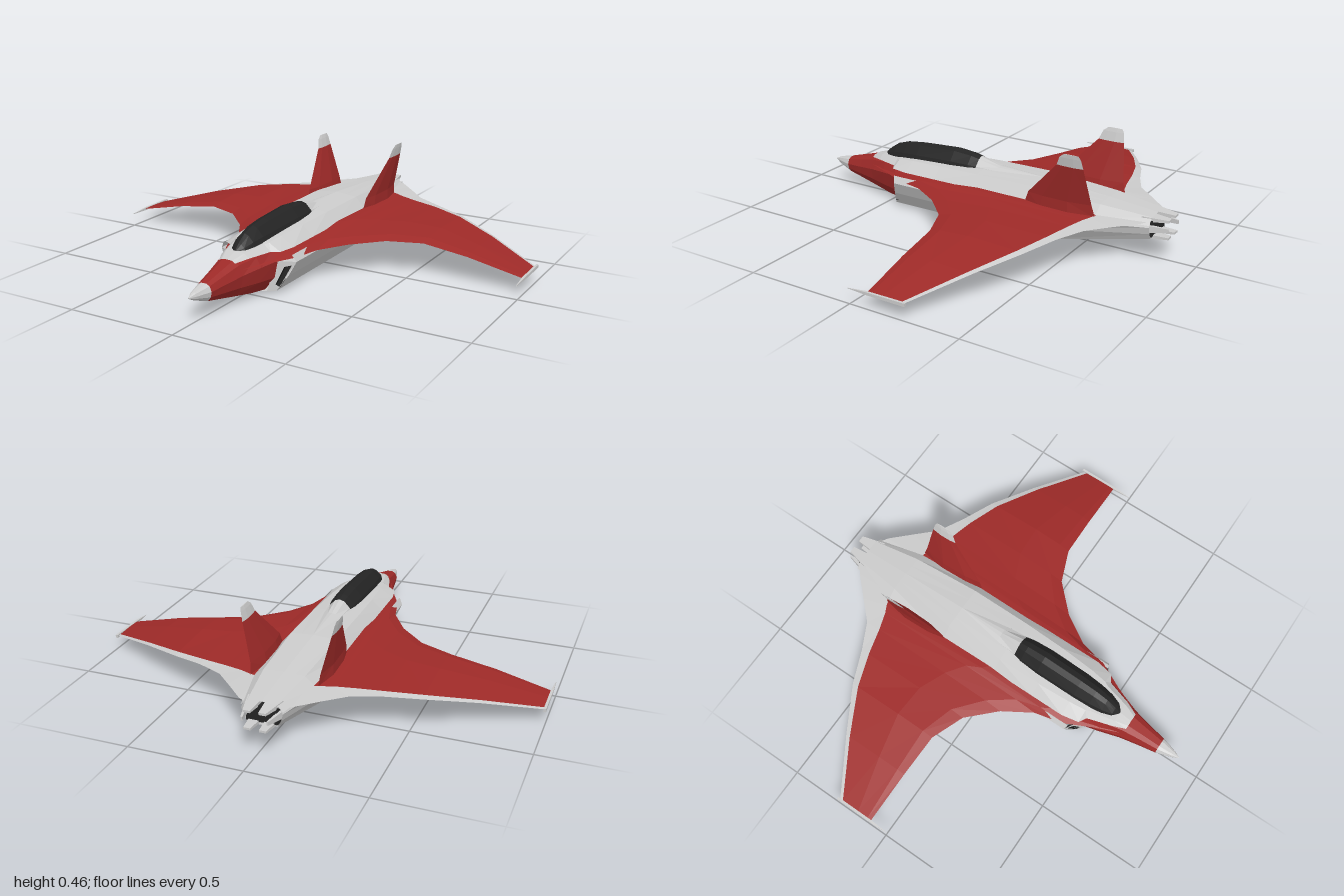
import * as THREE from 'three';

const RED = 0x9e2a28, GREY = 0xcccccc, DARK = 0x242424;
const material = (color) => new THREE.MeshStandardMaterial({ color, flatShading: true, side: THREE.DoubleSide });

// Skin through rows of [x, y, z] points, with a mirrored copy on the other side.
function loft(name, color, rows, { closed = false, cap = false } = {}) {
  const pos = [];
  const tri = (a, b, c) => {
    pos.push(...a, ...b, ...c);
    for (const p of [a, c, b]) pos.push(-p[0], p[1], p[2]);
  };
  if (cap) {
    const last = rows[rows.length - 1];
    const mid = [0, 1, 2].map((k) => last.reduce((s, p) => s + p[k], 0) / last.length);
    rows = [...rows, last.map(() => mid)];
  }
  for (let i = 0; i < rows.length - 1; i++) {
    const n = rows[i].length;
    for (let j = 0; j < (closed ? n : n - 1); j++) {
      const k = (j + 1) % n;
      const a = rows[i][j], b = rows[i][k], c = rows[i + 1][k], d = rows[i + 1][j];
      tri(a, d, c);
      tri(a, c, b);
    }
  }
  const g = new THREE.BufferGeometry();
  g.setAttribute('position', new THREE.Float32BufferAttribute(pos, 3));
  g.computeVertexNormals();
  const mesh = new THREE.Mesh(g, material(color));
  mesh.name = name;
  return mesh;
}

// Rectangular ring at depth z
const rect = (x0, x1, y0, y1, z) => [[x0, y0, z], [x1, y0, z], [x1, y1, z], [x0, y1, z]];

function nose() {
  // z, half width, bottom, middle, top
  const ring = ([z, w, b, m, t]) => [
    [0, b, z], [w * 0.5, b + (m - b) * 0.08, z], [w * 0.87, b + (m - b) * 0.48, z], [w, m, z],
    [w * 0.75, m + (t - m) * 0.72, z], [w * 0.35, t, z], [0, t, z],
  ];
  const rows = [
    [0.89, 0.002, 0.108, 0.11, 0.112], [0.86, 0.016, 0.092, 0.11, 0.125], [0.79, 0.037, 0.065, 0.11, 0.14],
    [0.7, 0.053, 0.045, 0.118, 0.164], [0.62, 0.07, 0.027, 0.128, 0.186],
    [0.53, 0.1, 0.01, 0.14, 0.197], [0.445, 0.125, 0.0, 0.148, 0.205],
  ].map(ring);
  return [loft('noseTip', GREY, rows.slice(0, 3)), loft('nose', RED, rows.slice(2))];
}

function body() {
  // Upper deck: z, shoulder x, shoulder y, edge x, edge y, centre y
  const spine = [
    [0.63, 0.025, 0.187, 0.04, 0.178, 0.189], [0.57, 0.045, 0.204, 0.066, 0.185, 0.207],
    [0.46, 0.07, 0.214, 0.1, 0.187, 0.218], [0.44, 0.08, 0.218, 0.135, 0.187, 0.222],
    [0.36, 0.09, 0.226, 0.15, 0.187, 0.23], [0.2, 0.1, 0.233, 0.15, 0.187, 0.24],
    [0, 0.105, 0.238, 0.15, 0.187, 0.25], [-0.28, 0.105, 0.24, 0.15, 0.187, 0.249],
    [-0.6, 0.09, 0.222, 0.14, 0.182, 0.226], [-0.82, 0.06, 0.202, 0.09, 0.175, 0.205],
  ].map(([z, xs, ys, xe, ye, yc]) => [[xe, ye, z], [xs, ys, z], [xs * 0.5, (ys + yc) / 2, z], [0, yc, z]]);

  // Belly, with the swept intake lip at its front
  const lip = (x) => 0.45 - (x - 0.1) * 0.6;
  const section = [[0, 0.004], [0.06, 0.004], [0.115, 0.014], [0.158, 0.08], [0.187, 0.14], [0.17, 0.17]];
  const belly = [
    section.map(([x, y]) => [x, y, x > 0.1 ? lip(x) : 0.45]),
    section.map(([x, y]) => [x, y, 0.2]),
    section.map(([x, y]) => [x, y, -0.35]),
    [[0, 0.102, -0.82], [0.035, 0.102, -0.82], [0.065, 0.108, -0.82], [0.08, 0.135, -0.82], [0.088, 0.165, -0.82], [0.08, 0.18, -0.82]],
  ];

  // Intake: frame, then a dark duct
  const at = (pts, dz = 0) => pts.map(([x, y]) => [x, y, lip(x) + dz]);
  const outer = [[0.115, 0.014], [0.08, 0.01], [0.115, 0.145], [0.187, 0.14]];
  const inner = [[0.126, 0.03], [0.112, 0.042], [0.143, 0.118], [0.17, 0.125]];
  return [
    loft('upperDeck', GREY, spine),
    loft('belly', GREY, belly),
    loft('intakeFrame', GREY, [at(outer), at(inner)], { closed: true }),
    loft('intakeDuct', DARK, [at(inner), at(inner, -0.015)], { closed: true, cap: true }),
  ];
}

function canopy() {
  // z, half width, base y, top y
  const rows = [
    [0.57, 0.008, 0.203, 0.208], [0.545, 0.034, 0.206, 0.232], [0.5, 0.051, 0.208, 0.262],
    [0.44, 0.062, 0.21, 0.281], [0.36, 0.069, 0.212, 0.291], [0.17, 0.072, 0.218, 0.302],
    [0.08, 0.066, 0.222, 0.293], [0.04, 0.058, 0.224, 0.283], [-0.06, 0.05, 0.236, 0.257], [-0.28, 0.01, 0.24, 0.249],
  ].map(([z, w, b, t]) => [
    [w, b, z], [w * 0.84, b + (t - b) * 0.4, z], [w * 0.38, b + (t - b) * 0.88, z], [0, t, z],
  ]);
  return [loft('canopyGlass', DARK, rows.slice(0, 8)), loft('canopyFairing', GREY, rows.slice(7))];
}

function wings() {
  // x, leading z, end of red z, trailing z, leading y, trailing y, thickness
  const stations = [
    [0.06, 0.62, -0.62, -0.82, 0.15, 0.185, 0.03], [0.11, 0.5, -0.61, -0.79, 0.15, 0.185, 0.032],
    [0.17, 0.38, -0.59, -0.73, 0.15, 0.183, 0.03], [0.2, 0.25, -0.575, -0.7, 0.15, 0.182, 0.026],
    [0.28, 0.12, -0.55, -0.62, 0.15, 0.177, 0.02], [0.4, 0, -0.52, -0.56, 0.152, 0.17, 0.018],
    [0.55, -0.06, -0.47, -0.5, 0.149, 0.155, 0.018], [0.75, -0.07, -0.37, -0.39, 0.119, 0.121, 0.012],
    [0.99, -0.08, -0.235, -0.25, 0.066, 0.066, 0.004],
  ];
  const point = ([x, zl, , zt, yl, yt], z, lift) => [x, yl + (yt - yl) * (zl - z) / (zl - zt) + lift, z];
  const red = [], strip = [];
  for (const s of stations) {
    const [, zl, zs, zt, , , t] = s;
    const z = (f) => zl + (zs - zl) * f;
    const top = [[0, 0], [0.12, 0.7], [0.45, 1], [1, 0.3]].map(([f, h]) => point(s, z(f), h * t));
    const bottom = [[1, -0.15], [0.45, -0.45], [0.12, -0.35], [0, 0]].map(([f, h]) => point(s, z(f), h * t));
    red.push([top, bottom]);
    strip.push([top[3], point(s, zt, 0), bottom[0]]);
  }
  return [
    loft('wingTop', RED, red.map((r) => r[0])),
    loft('wingUnderside', RED, red.map((r) => r[1])),
    loft('wingTrailingEdge', GREY, strip),
    loft('wingtipRail', GREY, [
      rect(0.994, 0.996, 0.061, 0.063, 0.01), rect(0.989, 1, 0.059, 0.071, -0.08), rect(0.989, 1, 0.059, 0.073, -0.26),
    ], { closed: true, cap: true }),
  ];
}

function fins() {
  // y, x, front z, back z, half thickness
  const rows = [
    [0.18, 0.147, -0.27, -0.605, 0.022], [0.235, 0.152, -0.29, -0.59, 0.016],
    [0.4, 0.192, -0.445, -0.567, 0.005], [0.44, 0.201, -0.462, -0.56, 0.004], [0.457, 0.205, -0.485, -0.55, 0.002],
  ].map(([y, x, zf, zb, h]) => {
    const z = (f) => zb + (zf - zb) * f;
    return [[x, y, zb], [x + h, y, z(0.35)], [x + h * 0.8, y, z(0.75)], [x, y, zf], [x - h * 0.8, y, z(0.75)], [x - h, y, z(0.35)]];
  });
  return [
    loft('tailFin', RED, rows.slice(0, 3), { closed: true }),
    loft('tailFinTip', GREY, rows.slice(2), { closed: true, cap: true }),
  ];
}

function exhaust() {
  const petal = (name, a, b) => loft(name, GREY, [rect(...a, -0.78), rect(...b, -0.89)], { closed: true, cap: true });
  return [
    petal('upperPetal', [0.008, 0.075, 0.18, 0.203], [0.018, 0.048, 0.187, 0.197]),
    petal('sidePetal', [0.07, 0.088, 0.135, 0.172], [0.05, 0.058, 0.148, 0.164]),
    petal('lowerPetal', [0.008, 0.06, 0.103, 0.122], [0.018, 0.048, 0.112, 0.121]),
    loft('nozzle', DARK, [rect(0, 0.072, 0.11, 0.19, -0.78), rect(0, 0.066, 0.116, 0.188, -0.825)], { closed: true, cap: true }),
  ];
}

export function createModel() {
  const model = new THREE.Group();
  model.name = 'jet';
  for (const [name, build] of Object.entries({ nose, body, canopy, wings, fins, exhaust })) {
    const group = new THREE.Group();
    group.name = name;
    group.add(...build());
    model.add(group);
  }
  return model;
}
